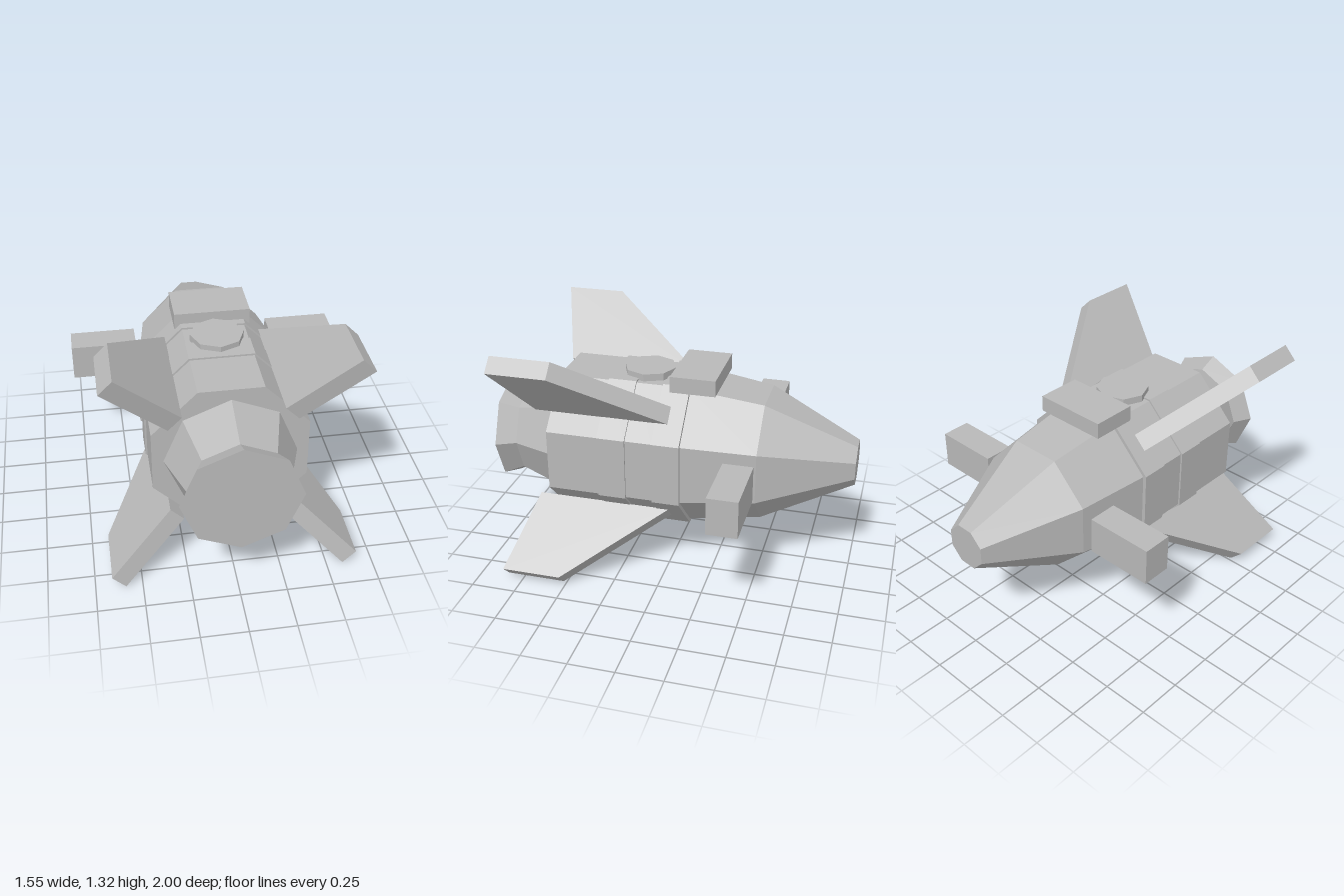
import * as THREE from 'three';

const AXIS_Y = 0.66; // height of the long axis

export function createModel() {
  const model = new THREE.Group();
  const grey = new THREE.MeshStandardMaterial({ color: 0xb8b8b8 });
  grey.name = 'hullGrey';
  grey.flatShading = true;

  const add = (name, geometry, x = 0, y = 0, z = 0) => {
    const mesh = new THREE.Mesh(geometry, grey);
    mesh.name = name;
    mesh.position.set(x, y, z);
    model.add(mesh);
    return mesh;
  };

  // Eight-sided section along z, given its corner radius at both ends
  const section = (name, z0, z1, r0, r1, turn) => {
    const g = new THREE.CylinderGeometry(r1, r0, z1 - z0, 8, 1, false, turn);
    g.rotateX(Math.PI / 2);
    return add(name, g, 0, AXIS_Y, (z0 + z1) / 2);
  };

  // Hull sections with flat tops; radii are to the flats
  const flat = Math.cos(Math.PI / 8);
  [
    ['noseCone', -1, -0.5, 0.115, 0.343],
    ['cabin', -0.5, -0.1, 0.343, 0.4],
    ['frontCollar', -0.1, 0.05, 0.42, 0.42],
    ['bodyFront', 0.05, 0.2, 0.41, 0.41],
    ['middleCollar', 0.2, 0.355, 0.42, 0.42],
    ['bodyRear', 0.355, 0.645, 0.41, 0.41],
  ].forEach(([name, z0, z1, a0, a1]) =>
    section(name, z0, z1, a0 / flat, a1 / flat, Math.PI / 8));

  // Engine, turned so a corner points up
  section('engineHousing', 0.645, 0.895, 0.35, 0.265, 0);
  section('engineNozzle', 0.895, 1, 0.265, 0.315, 0);

  // Four swept fins on the diagonals
  const outline = new THREE.Shape([
    new THREE.Vector2(0.417, -0.02),
    new THREE.Vector2(0.883, 0.52),
    new THREE.Vector2(0.883, 0.85),
    new THREE.Vector2(0.417, 0.73),
  ]);
  const finGeometry = new THREE.ExtrudeGeometry(outline, { depth: 0.1, bevelEnabled: false });
  finGeometry.translate(0, 0, -0.05).rotateX(Math.PI / 2);
  for (let i = 0; i < 4; i++) {
    add('fin', finGeometry, 0, AXIS_Y, 0).rotation.z = Math.PI / 4 + (i * Math.PI) / 2;
  }

  // Side pods
  for (const s of [-1, 1]) {
    add('sidePod', new THREE.BoxGeometry(0.375, 0.207, 0.165), s * 0.5875, 0.662, -0.415);
  }

  // Roof block and hatch
  add('roofBlock', new THREE.BoxGeometry(0.415, 0.09, 0.25), 0, 1.095, -0.12);
  add('roofHatch', new THREE.CylinderGeometry(0.145, 0.145, 0.05, 8), 0, 1.085, 0.17);

  return model;
}
